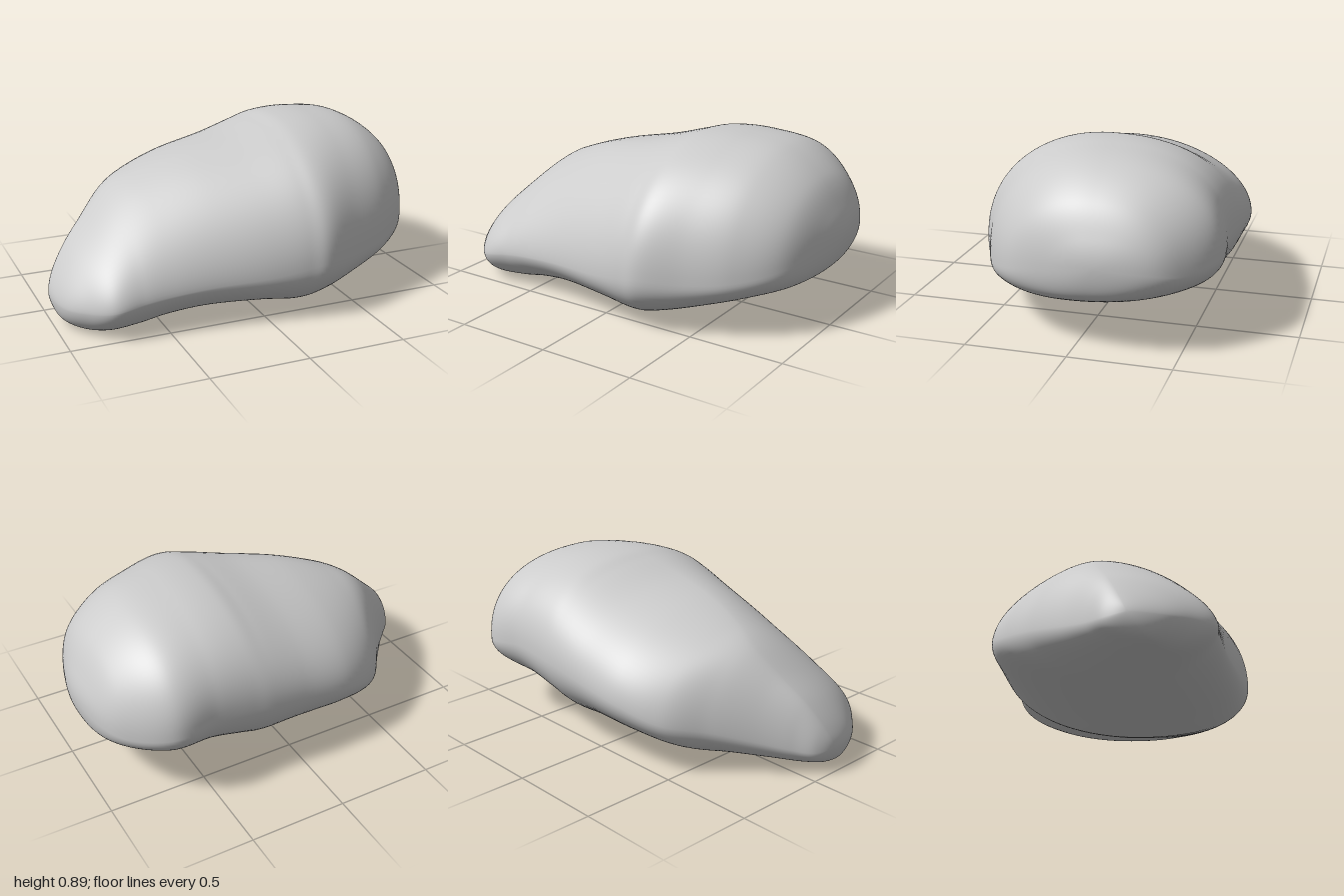
import * as THREE from 'three';

// Cross-sections along x: x, top y, bottom y, back z, front z,
// then y of the front and back extremes, z of the top and bottom extremes
const sections = [
  [-1, .14, .14, .14, .14, .14, .14, .14, .14],
  [-.97, .24, .05, .03, .30, .13, .13, .10, .20],
  [-.89, .36, .012, -.06, .42, .14, .15, .05, .27],
  [-.78, .47, .002, -.18, .52, .16, .19, 0, .30],
  [-.63, .605, .004, -.36, .53, .19, .25, -.05, .28],
  [-.48, .68, .015, -.535, .54, .21, .29, -.02, .22],
  [-.27, .75, .028, -.63, .565, .23, .36, .02, .18],
  [0, .81, .022, -.65, .615, .25, .41, .04, .14],
  [.18, .86, .002, -.655, .645, .28, .44, .02, .12],
  [.30, .888, .034, -.65, .652, .30, .45, -.02, .13],
  [.48, .888, .095, -.645, .575, .29, .46, -.05, .13],
  [.70, .848, .17, -.65, .47, .31, .43, -.08, .10],
  [.88, .725, .23, -.51, .31, .36, .40, -.09, .02],
  [.97, .57, .30, -.36, .08, .42, .42, -.12, -.10],
  [1, .44, .44, -.13, -.13, .44, .44, -.13, -.13],
];

// Smooth interpolation of the sections; x is mirrored past each end for a round nose
function sectionAt(t) {
  const last = sections.length - 1;
  const i = Math.min(Math.floor(t), last - 1), f = t - i;
  return sections[0].map((_, k) => {
    const p = (n) => {
      if (n >= 0 && n <= last) return sections[n][k];
      const end = n < 0 ? 0 : last, inner = n < 0 ? 1 : last - 1;
      return k === 0 ? sections[inner][0] : 2 * sections[end][k] - sections[inner][k];
    };
    const a = p(i - 1), b = p(i), c = p(i + 1), d = p(i + 2);
    return b + .5 * f * (c - a + f * (2 * a - 5 * b + 4 * c - d + f * (3 * (b - c) + d - a)));
  });
}

function stoneGeometry(rings = 140, sides = 96) {
  const pos = [], index = [];
  const id = (i, j) => i === 0 ? 0 : i === rings ? 1 + (rings - 1) * sides
    : 1 + (i - 1) * sides + j % sides;
  for (let i = 0; i <= rings; i++) {
    const [x, top, bottom, back, front, yFront, yBack, zTop, zBottom] =
      sectionAt(i / rings * (sections.length - 1));
    const right = THREE.MathUtils.smoothstep(x, -.5, .5);
    for (let j = 0; j < (i % rings ? sides : 1); j++) {
      const a = j / sides * Math.PI * 2, c = Math.cos(a), s = Math.sin(a);
      // Each quarter is a superellipse, flatter at the thin end and fuller at the thick end
      const n = c > 0 ? (s > 0 ? 1.68 + .45 * right : 1.75 + .7 * right)
        : (s > 0 ? 1.9 + .42 * right : 1.9 + .1 * right);
      const u = Math.abs(c) ** (2 / n), v = Math.abs(s) ** (2 / n);
      const zMid = s > 0 ? zTop : zBottom, yMid = c > 0 ? yFront : yBack;
      pos.push(x, yMid + ((s > 0 ? top : bottom) - yMid) * v,
        zMid + ((c > 0 ? front : back) - zMid) * u);
    }
  }
  for (let i = 0; i < rings; i++) for (let j = 0; j < sides; j++) {
    const a = id(i, j), b = id(i + 1, j), c = id(i, j + 1), d = id(i + 1, j + 1);
    if (i > 0) index.push(a, b, c);
    else index.push(a, b, d);
    if (i > 0 && i < rings - 1) index.push(b, d, c);
  }
  const geometry = new THREE.BufferGeometry();
  geometry.setAttribute('position', new THREE.Float32BufferAttribute(pos, 3));
  geometry.setIndex(index);
  geometry.computeVertexNormals();
  return geometry;
}

export function createModel() {
  const group = new THREE.Group();
  group.name = 'rock';
  const stone = new THREE.Mesh(stoneGeometry(), new THREE.MeshStandardMaterial({ color: 0xcccccc }));
  stone.name = 'stone';
  group.add(stone);
  return group;
}
